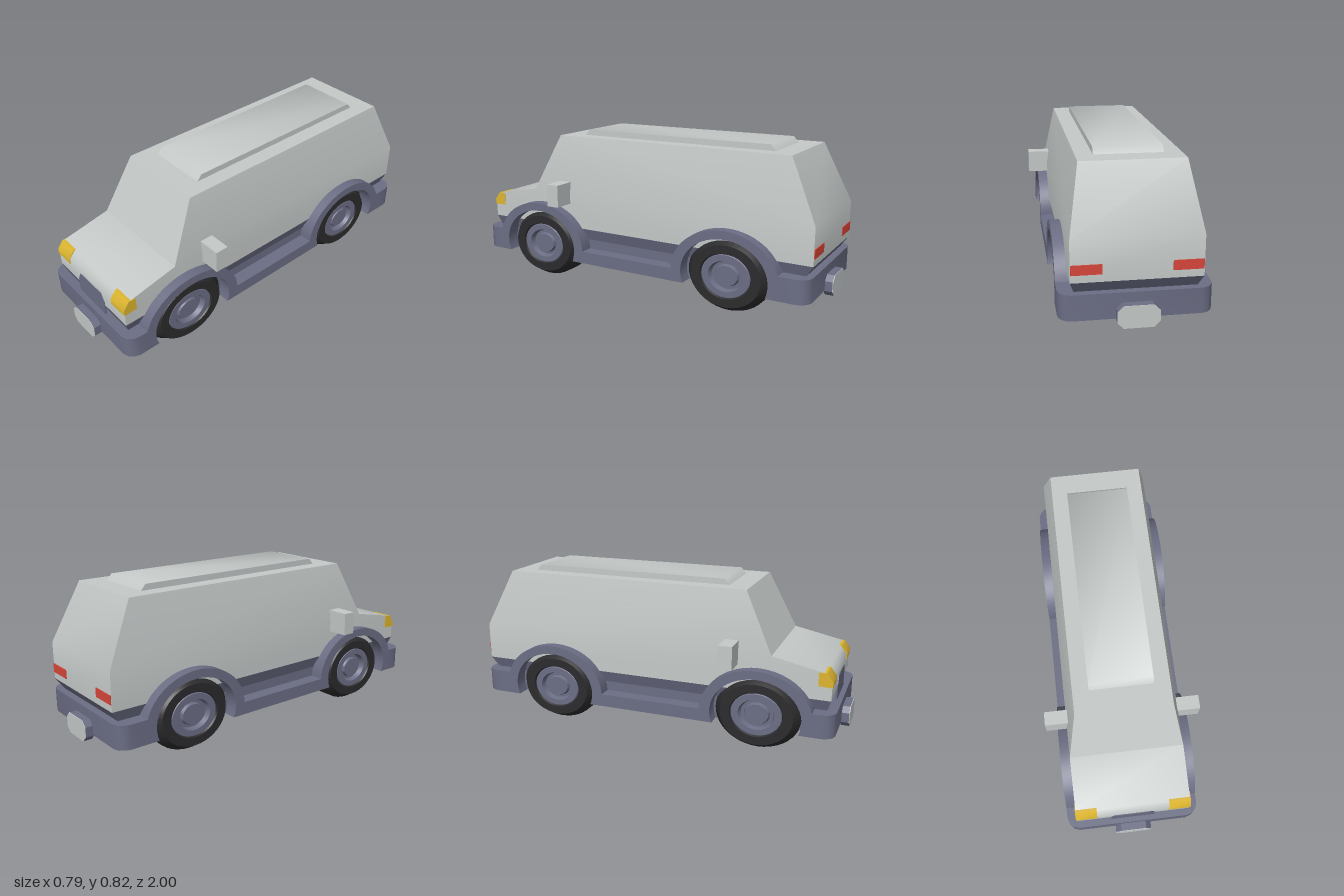
import * as THREE from 'three';
import { mergeGeometries, toCreasedNormals } from 'three/addons/utils/BufferGeometryUtils.js';

const mat = (name, color) => Object.assign(new THREE.MeshStandardMaterial({ color }), { name });
const shapeOf = (pts) => new THREE.Shape(pts.map(([a, b]) => new THREE.Vector2(a, b)));

// Extrude a (z, y) side profile across x0..x1
function sideExtrude(pts, x0, x1) {
  const g = new THREE.ExtrudeGeometry(shapeOf(pts), { depth: x1 - x0, bevelEnabled: false });
  return g.rotateY(-Math.PI / 2).translate(x1, 0, 0);
}

// Set the half width of a body section by height: w0 at y0, w1 at y1
function taper(g, y0, w0, y1, w1) {
  const p = g.attributes.position;
  for (let i = 0; i < p.count; i++) {
    const t = (p.getY(i) - y0) / (y1 - y0);
    p.setX(i, Math.sign(p.getX(i)) * (w0 + (w1 - w0) * t));
  }
  g.computeVertexNormals();
  return g;
}

// Points of an ellipse around a wheel centre, between two angles
function arc(cz, cy, rz, ry, a0, a1, n = 28) {
  return Array.from({ length: n + 1 }, (_, i) => {
    const a = a0 + ((a1 - a0) * i) / n;
    return [cz + rz * Math.cos(a), cy + ry * Math.sin(a)];
  });
}

export function createModel() {
  const model = new THREE.Group();
  const paint = mat('body grey', 0xc4c9c8);
  const trim = mat('trim blue grey', 0x6b6d84);
  const rubber = mat('tyre black', 0x2b2b2d);
  const amber = mat('headlight yellow', 0xdcb52f);
  const red = mat('tail light red', 0xd8463a);
  const add = (name, g, m) => {
    const mesh = new THREE.Mesh(g, m);
    mesh.name = name;
    model.add(mesh);
    return mesh;
  };
  const AXLES = [0.575, -0.535], CY = 0.187;

  // Body shell: straight lower half, tapered cabin
  const lower = sideExtrude([[-0.96, 0.3], [0.93, 0.3], [0.93, 0.395], [0.9, 0.435], [0.635, 0.49], [-0.96, 0.49]], -0.29, 0.29);
  const cabin = taper(
    sideExtrude([[-0.96, 0.49], [0.635, 0.49], [0.49, 0.79], [-0.82, 0.79]], -0.29, 0.29),
    0.49, 0.29, 0.79, 0.238);
  add('body', toCreasedNormals(mergeGeometries([lower, cabin]), 0.78), paint);

  // Dark band under the body
  add('lowerBody', taper(
    sideExtrude([[-0.92, 0.24], [0.91, 0.24], [0.93, 0.3], [-0.96, 0.3]], -0.29, 0.29),
    0.24, 0.27, 0.3, 0.29), trim);

  // Raised roof panel
  add('roofPanel', toCreasedNormals(
    sideExtrude([[-0.715, 0.785], [0.385, 0.785], [0.355, 0.82], [-0.685, 0.82]], -0.158, 0.158), 0.95), paint);

  // Chassis with bumpers, narrowed between the ends
  const quarter = [[0.27, 0], [0.27, 0.85], [0.342, 0.85], [0.342, 0.9], [0.335, 0.925], [0.315, 0.95], [0.285, 0.96]];
  const half = [...quarter.map(([x, z]) => [x, -z]).reverse(), ...quarter.slice(1)];
  const plan = [...half, ...half.map(([x, z]) => [-x, -z])];
  const chassis = new THREE.ExtrudeGeometry(shapeOf(plan), { depth: 0.12, bevelEnabled: false });
  chassis.rotateX(Math.PI / 2).translate(0, 0.245, 0);
  add('chassisAndBumpers', toCreasedNormals(chassis, 0.6), trim);

  // Sills with wheel arches
  const inLow = Math.asin((0.125 - CY) / 0.192);
  const outEnd = Math.asin((0.245 - CY) / 0.235), outSill = Math.asin((0.19 - CY) / 0.235);
  const outline = [
    [-0.85, 0.125],
    ...arc(AXLES[1], CY, 0.23, 0.192, Math.PI - inLow, inLow),
    ...arc(AXLES[0], CY, 0.23, 0.192, Math.PI - inLow, inLow),
    [0.852, 0.125],
    ...arc(AXLES[0], CY, 0.285, 0.235, outEnd, Math.PI - outSill),
    ...arc(AXLES[1], CY, 0.285, 0.235, outSill, Math.PI - outEnd),
    [-0.85, 0.245],
  ];
  add('leftSillAndArches', toCreasedNormals(sideExtrude(outline, 0.268, 0.342), 0.5), trim);
  add('rightSillAndArches', toCreasedNormals(sideExtrude(outline, -0.342, -0.268), 0.5), trim);

  // Wheels, slightly long in z
  const lathe = (pts) => toCreasedNormals(
    new THREE.LatheGeometry(pts.map(([r, y]) => new THREE.Vector2(r, y)), 40).toNonIndexed(), 0.55);
  const tyre = lathe([[0, -0.092], [0.157, -0.092], [0.187, -0.042], [0.187, 0.042], [0.157, 0.092], [0.115, 0.092], [0.108, 0.078]]);
  const rim = lathe([[0.114, 0.078], [0.107, 0.088], [0.078, 0.088], [0.07, 0.062], [0.056, 0.062], [0.05, 0.078], [0, 0.078]]);
  for (const s of [1, -1]) {
    for (const z of AXLES) {
      const wheel = new THREE.Group();
      wheel.name = (z > 0 ? 'front' : 'rear') + (s > 0 ? 'Left' : 'Right') + 'Wheel';
      for (const [name, g, m] of [['tyre', tyre, rubber], ['rim', rim, trim]]) {
        const mesh = new THREE.Mesh(g, m);
        mesh.name = name;
        mesh.rotation.z = (-s * Math.PI) / 2;
        wheel.add(mesh);
      }
      wheel.position.set(s * 0.225, CY, z);
      wheel.scale.z = 1.18;
      model.add(wheel);
    }

    // Door mirrors
    add('mirror', new THREE.BoxGeometry(0.117, 0.118, 0.07).translate(s * 0.3385, 0.489, 0.435), paint);

    // Headlights wrapping the front corners
    const lamp = [[0.865, 0.37], [0.934, 0.367], [0.934, 0.396], [0.903, 0.437], [0.865, 0.437]];
    const [a, b] = s > 0 ? [0.184, 0.293] : [-0.293, -0.184];
    add('headlight', toCreasedNormals(sideExtrude(lamp, a, b), 0.8), amber);

    // Tail lights
    add('tailLight', new THREE.BoxGeometry(0.135, 0.045, 0.006).translate(s * 0.22, 0.358, -0.961), red);
  }

  // Grille
  const grille = shapeOf([[-0.113, 0.245], [0.113, 0.245], [0.113, 0.32], [0.09, 0.365], [-0.09, 0.365], [-0.113, 0.32]]);
  add('grille', new THREE.ExtrudeGeometry(grille, { depth: 0.008, bevelEnabled: false }).translate(0, 0, 0.926), trim);

  // Number plate holders and blank plates at both ends
  const plate = shapeOf([[-0.066, 0.095], [0.066, 0.095], [0.093, 0.122], [0.093, 0.172], [0.066, 0.199], [-0.066, 0.199], [-0.093, 0.172], [-0.093, 0.122]]);
  for (const turn of [0, Math.PI]) {
    const end = turn ? 'rear' : 'front';
    const slab = (depth, z) => new THREE.ExtrudeGeometry(plate, { depth, bevelEnabled: false }).translate(0, 0, z).rotateY(turn);
    add(end + 'PlateHolder', slab(0.042, 0.955), trim);
    add(end + 'Plate', slab(0.003, 0.997), paint);
  }
  return model;
}
